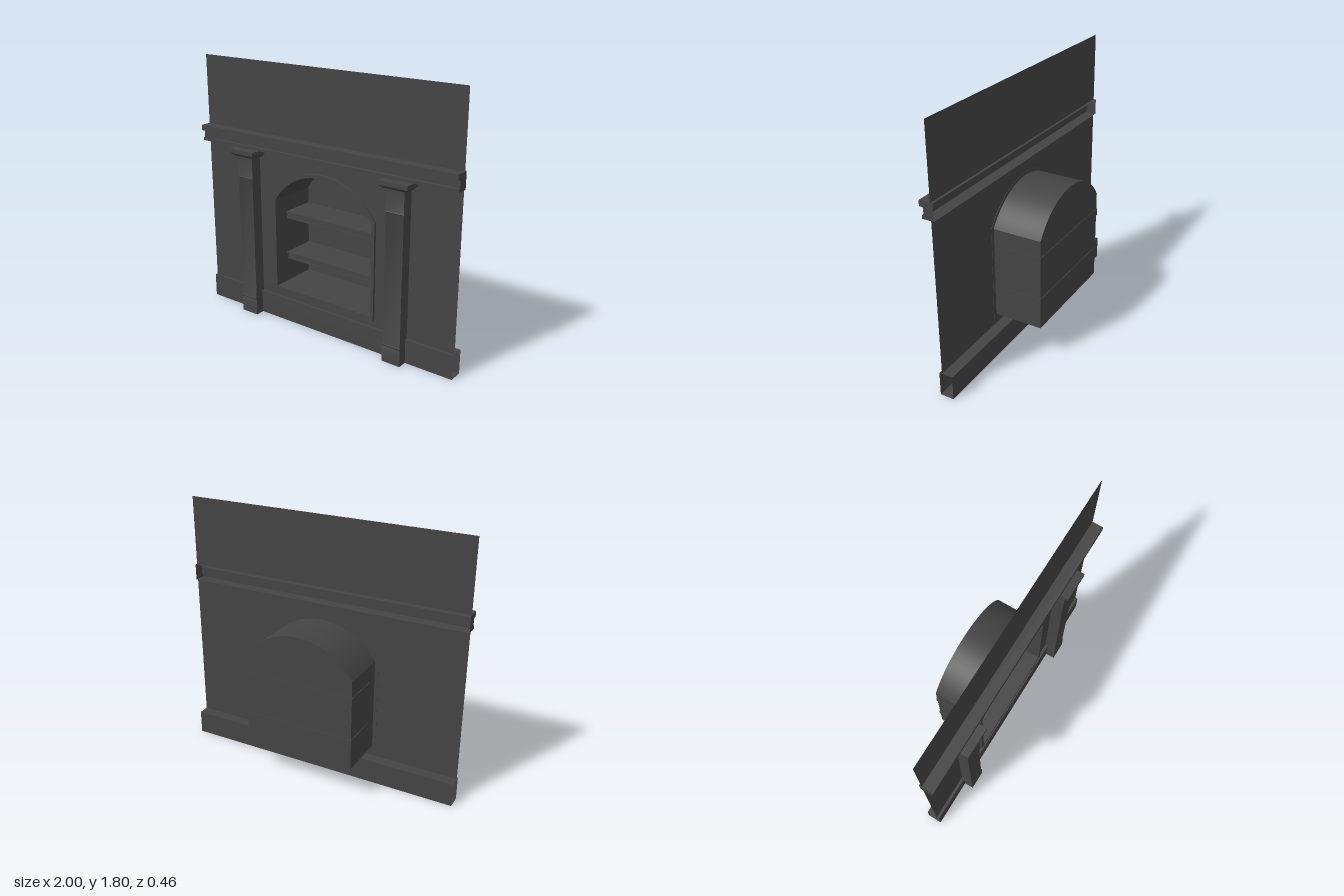
import * as THREE from 'three';
import { toCreasedNormals } from 'three/addons/utils/BufferGeometryUtils.js';

const material = new THREE.MeshStandardMaterial({ color: 0x444444, side: THREE.DoubleSide });
const WALL_Z = 0.11;

// Joins a list of equal-length point rows into a surface with sharp creases
function loft(rows) {
  const n = rows[0].length, index = [];
  for (let r = 0; r < rows.length - 1; r++) {
    for (let i = 0; i < n - 1; i++) {
      const a = r * n + i, b = a + 1, c = a + n, d = c + 1;
      index.push(a, b, d, a, d, c);
    }
  }
  const geo = new THREE.BufferGeometry();
  geo.setAttribute('position', new THREE.Float32BufferAttribute(rows.flat(2), 3));
  geo.setIndex(index);
  return toCreasedNormals(geo, 0.5);
}

// Sweeps a [z, y] profile along x
const sweepX = (profile, x0, x1) =>
  loft([x1, x0].map((x) => profile.map(([z, y]) => [x, y, z])));

// Flat end cap for a [z, y] profile
function endCap(profile, x) {
  const shape = new THREE.Shape(profile.map(([z, y]) => new THREE.Vector2(z, y)));
  return new THREE.ShapeGeometry(shape).rotateY(-Math.PI / 2).translate(x, 0, 0);
}

// Opening with straight sides and a segmental arch
function archShape(half, bottom, spring, apex, Type = THREE.Shape) {
  const rise = apex - spring;
  const radius = (half * half + rise * rise) / (2 * rise);
  const start = Math.asin((radius - rise) / radius);
  const s = new Type();
  s.moveTo(-half, bottom);
  s.lineTo(half, bottom);
  s.lineTo(half, spring);
  s.absarc(0, apex - radius, radius, start, Math.PI - start, false);
  s.lineTo(-half, bottom);
  return s;
}

function rectShape(y0, y1) {
  return new THREE.Shape([[-1, y0], [1, y0], [1, y1], [-1, y1]].map((p) => new THREE.Vector2(...p)));
}

export function createModel() {
  const group = new THREE.Group();
  const add = (name, geo, parent = group) => {
    const mesh = new THREE.Mesh(geo, material);
    mesh.name = name;
    parent.add(mesh);
    return mesh;
  };
  const addGroup = (name) => {
    const g = new THREE.Group();
    g.name = name;
    group.add(g);
    return g;
  };
  const opening = (Type) => archShape(0.39, 0.24, 0.875, 1.092, Type);

  // Wall sheets above and below the cornice
  const lower = rectShape(0.1, 1.207);
  lower.holes.push(opening(THREE.Path));
  add('lowerWall', new THREE.ShapeGeometry(lower, 24).translate(0, 0, WALL_Z));
  add('upperWall', new THREE.ShapeGeometry(rectShape(1.318, 1.798)).translate(0, 0, WALL_Z));

  // Baseboard, a box tube with open ends
  add('baseboard', sweepX([[0.035, 0], [0.13, 0], [0.13, 0.165], [0.035, 0.165], [0.035, 0]], -1, 1));

  // Cornice, open at the back
  const cornice = addGroup('cornice');
  const corniceProfile = [
    [0.092, 1.207], [0.172, 1.207], [0.172, 1.229], [0.16, 1.231],
    [0.16, 1.279], [0.187, 1.281], [0.187, 1.318], [0.092, 1.318],
  ];
  add('corniceMoulding', sweepX(corniceProfile, -1, 1), cornice);
  for (const x of [-1, 1]) add('corniceEnd', endCap(corniceProfile, x), cornice);

  // Arched frame around the niche
  const frame = archShape(0.415, 0.21, 0.882, 1.115);
  frame.holes.push(opening(THREE.Path));
  add('nicheFrame', toCreasedNormals(
    new THREE.ExtrudeGeometry(frame, { depth: 0.02, bevelEnabled: false, curveSegments: 24 })
      .translate(0, 0, WALL_Z - 0.002), 0.5));

  // Niche lining and back
  const niche = addGroup('niche');
  const outline = opening().getPoints(24).map((p) => [p.x, p.y]);
  add('nicheLining', loft([-0.228, WALL_Z].map((z) => outline.map(([x, y]) => [x, y, z]))), niche);
  add('nicheBack', new THREE.ShapeGeometry(opening(), 24).translate(0, 0, -0.228), niche);

  // Shelves with a moulded front edge, set slightly into the lining
  for (const y of [0.41, 0.71]) {
    const profile = [
      [-0.232, 0], [0.012, 0], [0.012, 0.01], [0.004, 0.01],
      [0.004, 0.039], [0.02, 0.039], [0.02, 0.052], [-0.232, 0.052],
    ].map(([z, h]) => new THREE.Vector2(z, y + h));
    add('shelf', new THREE.ExtrudeGeometry(new THREE.Shape(profile), { depth: 0.788, bevelEnabled: false })
      .rotateY(-Math.PI / 2).translate(0.394, 0, 0), niche);
  }

  // Pilasters from rectangular sections: [height, half width, front z]
  const sections = [
    [0, 0, WALL_Z], [0, 0.067, 0.195], [0.095, 0.067, 0.195], [0.108, 0.064, 0.19],
    [0.118, 0.066, 0.194], [0.128, 0.063, 0.19], [1.0, 0.063, 0.19], [1.008, 0.065, 0.194],
    [1.016, 0.063, 0.19], [1.152, 0.063, 0.19], [1.152, 0.078, 0.193],
    [1.177, 0.105, 0.23], [1.205, 0.105, 0.23], [1.205, 0, WALL_Z],
  ];
  const pilaster = loft(sections.map(([y, w, z]) =>
    [[-w, y, WALL_Z], [-w, y, z], [w, y, z], [w, y, WALL_Z], [-w, y, WALL_Z]]));
  for (const side of [-1, 1]) {
    add(side > 0 ? 'leftPilaster' : 'rightPilaster', pilaster).position.x = side * 0.598;
  }

  return group;
}
